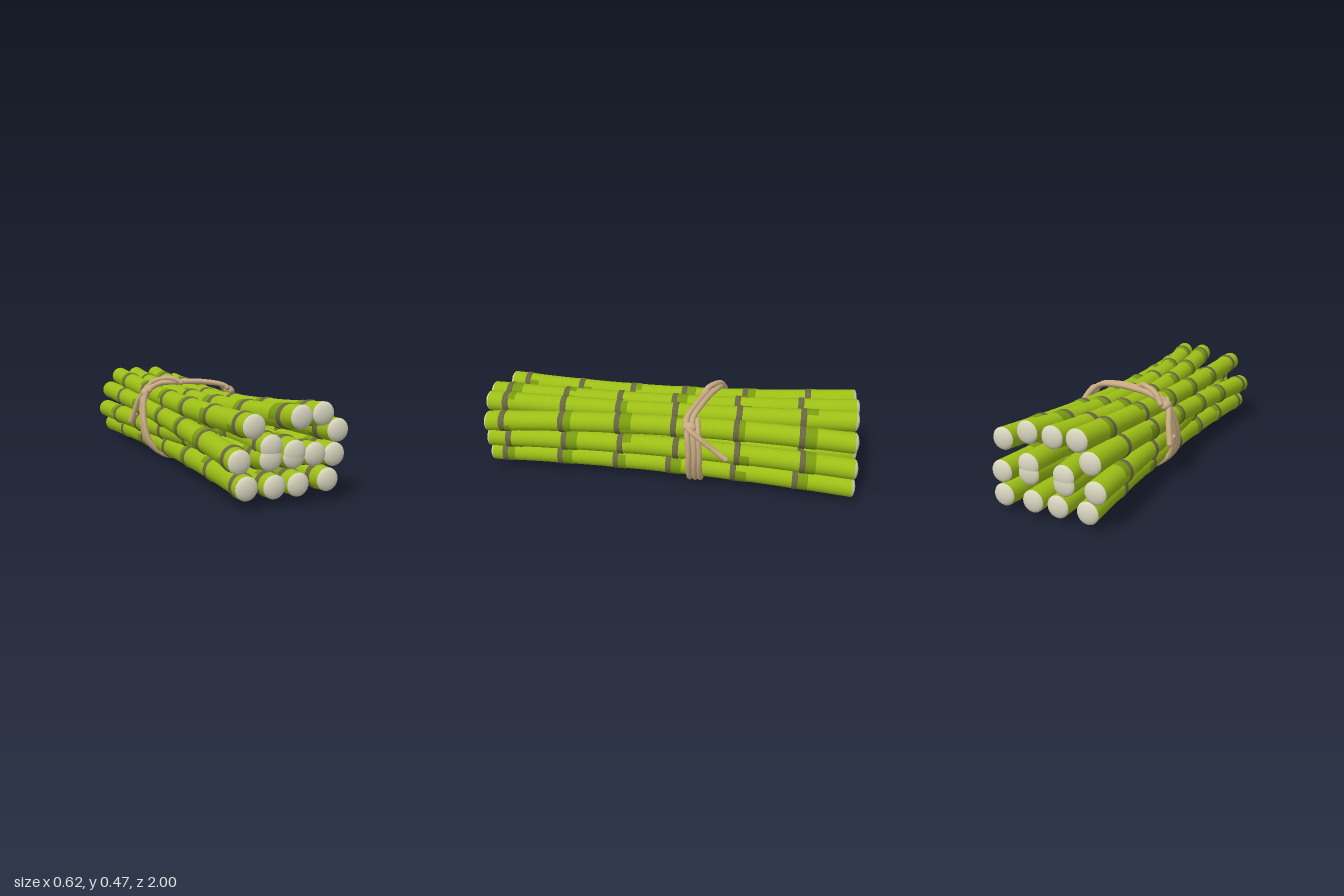
import * as THREE from 'three';

const mat = (name, color) => {
  const m = new THREE.MeshStandardMaterial({ color });
  m.name = name;
  return m;
};

// Each stalk: front [x, y], waist [x, y], back [x, y], front z, back z
const STALKS = [
  [[-0.155, 0.36], [-0.15, 0.348], [-0.165, 0.4], 0.95, -0.97],
  [[0.055, 0.392], [-0.045, 0.352], [-0.05, 0.4], 0.98, -0.98],
  [[0.175, 0.397], [0.06, 0.352], [0.085, 0.4], 0.96, -0.97],
  [[0.258, 0.318], [0.165, 0.33], [0.22, 0.35], 0.95, -0.965],
  [[-0.225, 0.215], [-0.19, 0.265], [-0.23, 0.31], 0.955, -0.975],
  [[-0.08, 0.271], [-0.07, 0.272], [-0.1, 0.232], 0.965, -0.98],
  [[-0.083, 0.219], [-0.18, 0.18], [-0.255, 0.185], 0.965, -0.98],
  [[0.03, 0.241], [0.045, 0.272], [0.08, 0.255], 0.97, -0.98],
  [[0.028, 0.222], [-0.06, 0.188], [-0.1, 0.193], 0.968, -0.98],
  [[0.137, 0.222], [0.065, 0.188], [0.08, 0.213], 0.96, -0.98],
  [[0.238, 0.212], [0.19, 0.21], [0.225, 0.2], 0.955, -0.98],
  [[-0.193, 0.1], [-0.165, 0.097], [-0.215, 0.086], 0.96, -0.98],
  [[-0.06, 0.094], [-0.055, 0.093], [-0.065, 0.085], 0.96, -0.98],
  [[0.053, 0.095], [0.055, 0.093], [0.065, 0.085], 0.965, -0.98],
  [[0.205, 0.102], [0.17, 0.097], [0.22, 0.088], 0.96, -0.98],
];
const NODES = [0.88, 0.57, 0.27, -0.03, -0.365, -0.7];
const WAIST = -0.15;
const RADIUS = 0.0535;

let seed = 7;
const rand = () => (seed = (seed * 16807) % 2147483647) / 2147483647;

export function createModel() {
  const model = new THREE.Group();
  model.name = 'stalkBundle';

  const green = mat('stalk green', 0x9dbf16);
  const dark = mat('dark green', 0x789c10);
  const brown = mat('node brown', 0x6a6644);
  const cream = mat('cut end cream', 0xd9d6bf);
  const tan = mat('rope tan', 0xc9ab84);

  const add = (parent, name, geometry, material) => {
    const mesh = new THREE.Mesh(geometry, material);
    mesh.name = name;
    parent.add(mesh);
    return mesh;
  };

  // Stalks
  STALKS.forEach(([front, waist, back, z1, z0], i) => {
    const stalk = new THREE.Group();
    stalk.name = `stalk${i + 1}`;
    model.add(stalk);

    // Smooth bend through the front, waist and back centres
    const centre = (z, k) =>
      front[k] * ((z - WAIST) * (z - z0)) / ((z1 - WAIST) * (z1 - z0)) +
      waist[k] * ((z - z1) * (z - z0)) / ((WAIST - z1) * (WAIST - z0)) +
      back[k] * ((z - z1) * (z - WAIST)) / ((z0 - z1) * (z0 - WAIST));

    // Turned profile of [radius, z] laid along the bent centre line
    const turned = (profile, start = 0, length = Math.PI * 2) => {
      const pts = profile.map(([r, z]) => new THREE.Vector2(r, z));
      const segs = Math.max(8, Math.round(24 * length / (Math.PI * 2)));
      const g = new THREE.LatheGeometry(pts, segs, start, length);
      g.rotateX(Math.PI / 2);
      const p = g.attributes.position;
      for (let v = 0; v < p.count; v++) {
        const z = p.getZ(v);
        p.setXY(v, p.getX(v) + centre(z, 0), p.getY(v) + centre(z, 1));
      }
      return g;
    };

    const shift = (rand() - 0.5) * 0.05;
    const nodes = NODES.map((z) => z + shift + (rand() - 0.5) * 0.015);

    // Stem, slightly swollen at each node
    const stem = [];
    const steps = 48;
    for (let s = 0; s <= steps; s++) {
      const z = z0 + (z1 - z0) * s / steps;
      const near = Math.min(...nodes.map((n) => Math.abs(z - n)));
      stem.push([RADIUS + 0.002 * Math.max(0, 1 - near / 0.06), z]);
    }
    add(stalk, 'stem', turned(stem), green);

    for (const n of nodes) {
      // Double-ridged ring
      add(stalk, 'nodeRing', turned([
        [RADIUS, n - 0.017], [RADIUS + 0.005, n - 0.012], [RADIUS + 0.006, n - 0.005],
        [RADIUS + 0.003, n], [RADIUS + 0.006, n + 0.005], [RADIUS + 0.005, n + 0.012],
        [RADIUS, n + 0.017],
      ]), brown);
      // Darker skin beside the ring
      const len = 0.04 + rand() * 0.035;
      add(stalk, 'darkPatch', turned([
        [RADIUS + 0.003, n - len], [RADIUS + 0.0035, n - 0.012],
      ], rand() * 6.28, 2.5 + rand() * 2.5), dark);
    }

    // Domed cut ends
    const dome = [[1, 0], [0.92, 0.006], [0.75, 0.012], [0.5, 0.016], [0.25, 0.0185], [0, 0.019]];
    add(stalk, 'frontCut', turned(dome.map(([r, h]) => [RADIUS * r, z1 + h])), cream);
    add(stalk, 'backCut', turned(dome.map(([r, h]) => [RADIUS * r, z0 - h]).reverse()), cream);
  });

  // Rope
  const rope = new THREE.Group();
  rope.name = 'rope';
  model.add(rope);
  const cord = (name, points, r, closed = false, dz = 0) => {
    const path = new THREE.CatmullRomCurve3(
      points.map(([x, y, z]) => new THREE.Vector3(x, y, z + dz)), closed);
    add(rope, name, new THREE.TubeGeometry(path, points.length * 8, r, 10, closed), tan);
    if (closed) return;
    // Rounded cord ends
    for (const t of [0, 1]) {
      add(rope, 'cordEnd', new THREE.SphereGeometry(r, 10, 8), tan).position.copy(path.getPoint(t));
    }
  };
  const loop = [
    [0, 0.019, -0.15], [0.13, 0.02, -0.15], [0.215, 0.05, -0.15], [0.262, 0.14, -0.15],
    [0.278, 0.24, -0.15], [0.264, 0.34, -0.14], [0.215, 0.402, -0.13], [0.1, 0.428, -0.16],
    [-0.05, 0.43, -0.2], [-0.16, 0.42, -0.235], [-0.235, 0.37, -0.23], [-0.262, 0.28, -0.2],
    [-0.266, 0.2, -0.17], [-0.24, 0.1, -0.15], [-0.15, 0.024, -0.15],
  ];
  cord('ropeLoop', loop, 0.015, true, 0.015);
  cord('ropeLoop', loop, 0.015, true, -0.015);
  cord('lowerStrand', [...loop.slice(12), ...loop.slice(0, 7)], 0.014, false, -0.042);

  // Raised twist on top and the loose tails
  cord('topTwist', [[-0.22, 0.385, -0.27], [-0.18, 0.43, -0.25], [-0.12, 0.45, -0.22],
    [-0.075, 0.448, -0.19], [-0.04, 0.428, -0.17]], 0.015);
  cord('leftTail', [[0.22, 0.395, -0.11], [0.262, 0.375, -0.13], [0.277, 0.33, -0.19],
    [0.272, 0.27, -0.26], [0.276, 0.22, -0.33]], 0.015);
  cord('rightTail', [[-0.22, 0.39, -0.2], [-0.255, 0.35, -0.25], [-0.275, 0.28, -0.29],
    [-0.295, 0.2, -0.32]], 0.016);

  // Knots
  for (const [x, y, z] of [[0.245, 0.375, -0.135], [-0.235, 0.37, -0.235]]) {
    const knot = add(rope, 'knot', new THREE.SphereGeometry(0.032, 16, 12), tan);
    knot.position.set(x, y, z);
    knot.scale.set(0.85, 0.85, 1.2);
  }

  return model;
}
